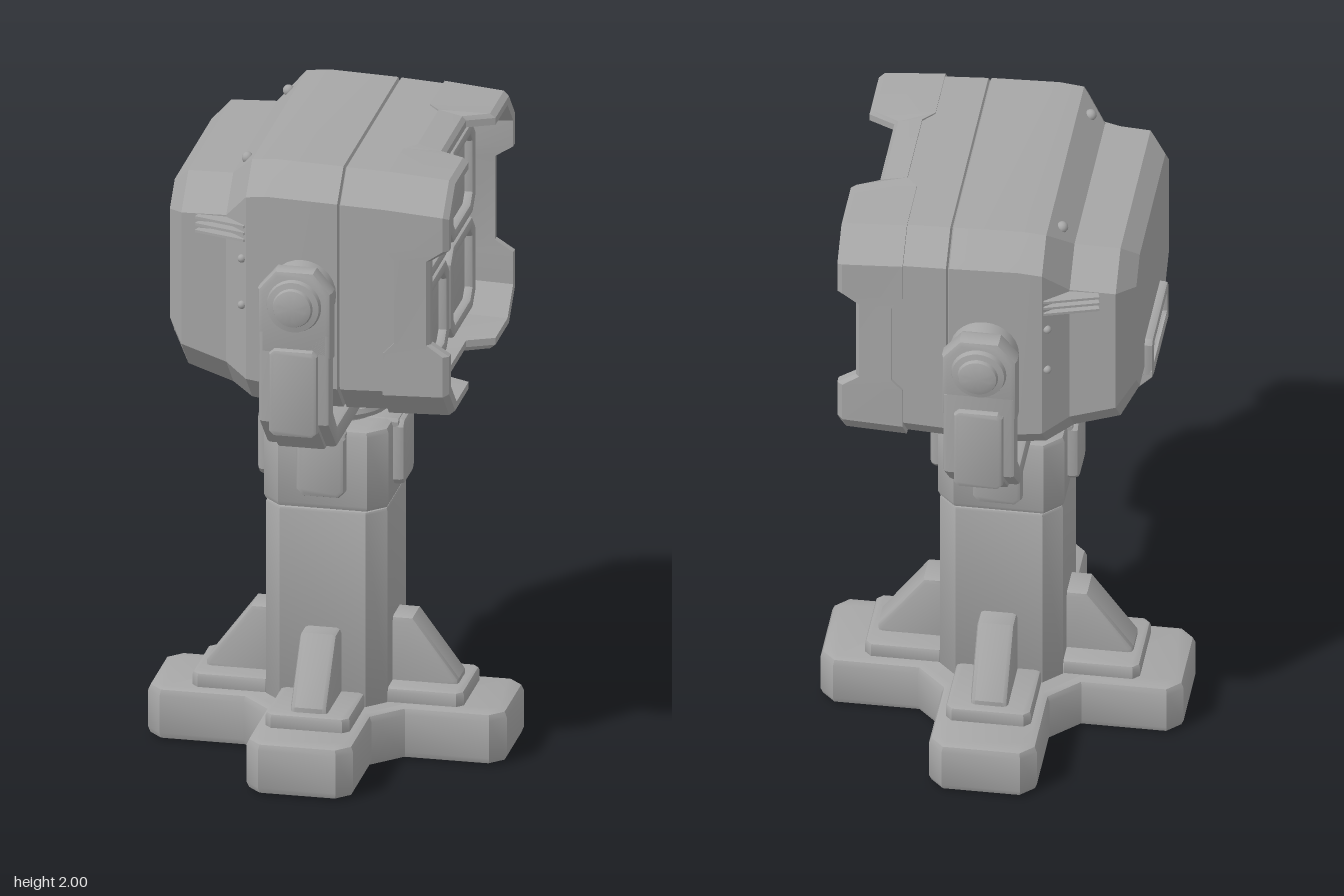
import * as THREE from 'three';
import { toCreasedNormals } from 'three/addons/utils/BufferGeometryUtils.js';

const grey = new THREE.MeshStandardMaterial({ color: 0xa6a6a6 });
grey.name = 'grey paint';

function add(parent, name, geometry, x = 0, y = 0, z = 0) {
  const mesh = new THREE.Mesh(geometry, grey);
  mesh.name = name;
  mesh.position.set(x, y, z);
  parent.add(mesh);
  return mesh;
}

// Counter-clockwise rectangle with cut corners, centred on (0, cy)
function cutRect(w, h, c, cy = 0) {
  return [[w - c, -h], [w, c - h], [w, h - c], [w - c, h], [c - w, h], [-w, h - c], [-w, c - h], [c - w, -h]]
    .map(([a, b]) => [a, b + cy]);
}
const toShape = (pts) => new THREE.Shape(pts.map((p) => new THREE.Vector2(...p)));

// Bevelled extrusion along z that keeps the drawn size, from 0 to depth
function slab(pts, depth, bevel = 0.015, holes = []) {
  const shape = toShape(pts);
  shape.holes = holes.map(toShape);
  const g = new THREE.ExtrudeGeometry(shape, {
    depth: depth - 2 * bevel, bevelThickness: bevel, bevelSize: bevel, bevelOffset: -bevel, bevelSegments: 2,
  });
  g.translate(0, 0, bevel);
  return toCreasedNormals(g, 0.6);
}
const upright = (g) => g.rotateX(-Math.PI / 2); // extrusion axis to +y
const forward = (g) => g.rotateY(Math.PI / 2); // extrusion axis to +x

// Skin over rings of [x, y, z] points, with optional end caps
function loft(rings, capped = true) {
  const pos = [];
  const n = rings[0].length;
  const tri = (a, b, c) => pos.push(...a, ...b, ...c);
  for (let i = 0; i < rings.length - 1; i++) {
    for (let j = 0; j < n; j++) {
      const k = (j + 1) % n, r = rings[i], s = rings[i + 1];
      tri(r[j], s[j], s[k]);
      tri(r[j], s[k], r[k]);
    }
  }
  if (capped) {
    const first = rings[0], last = rings[rings.length - 1];
    for (let j = 1; j < n - 1; j++) {
      tri(first[0], first[j], first[j + 1]);
      tri(last[0], last[j + 1], last[j]);
    }
  }
  const g = new THREE.BufferGeometry();
  g.setAttribute('position', new THREE.Float32BufferAttribute(pos, 3));
  g.computeVertexNormals();
  return toCreasedNormals(g, 0.35);
}
// Cut-corner section across the beam axis: half width, bottom, top, corner
const section = (x, w, lo, hi, c) => cutRect(w, (hi - lo) / 2, c, (hi + lo) / 2).map(([z, y]) => [x, y, z]);

function makeStand() {
  const stand = new THREE.Group();
  stand.name = 'stand';

  // Cross-shaped foot: one arm outline repeated four times
  const cross = [];
  for (let i = 0; i < 4; i++) {
    const c = Math.cos(i * Math.PI / 2), s = Math.sin(i * Math.PI / 2);
    for (const [a, b] of [[0.25, -0.165], [0.51, -0.165], [0.555, -0.12], [0.555, 0.12], [0.51, 0.165], [0.25, 0.165]]) {
      cross.push([a * c - b * s, a * s + b * c]);
    }
  }
  add(stand, 'crossFoot', upright(slab(cross, 0.17, 0.025)));

  // Column and its collar
  add(stand, 'column', upright(slab(cutRect(0.188, 0.188, 0.055), 0.65, 0.01)), 0, 0.15);
  add(stand, 'collar', upright(slab(cutRect(0.193, 0.193, 0.055), 0.265, 0.02)), 0, 0.797);

  for (let i = 0; i < 4; i++) {
    const side = new THREE.Group();
    side.name = 'columnSide';
    side.rotation.y = i * Math.PI / 2;
    stand.add(side);
    // Sloping brace on a foot plate
    const brace = slab([[0.17, 0.19], [0.39, 0.19], [0.39, 0.23], [0.25, 0.42], [0.17, 0.42]], 0.115);
    add(side, 'brace', brace, 0, 0, -0.0575);
    add(side, 'bracePlate', upright(slab(cutRect(0.125, 0.13, 0.02), 0.06, 0.012)), 0.295, 0.155);
    // Collar clip
    add(side, 'collarClip', forward(slab(cutRect(0.075, 0.105, 0.02, 0.955), 0.06, 0.015)), 0.168);
    add(side, 'clipTop', forward(slab(cutRect(0.075, 0.02, 0.01, 1.045), 0.1, 0.008)), 0.11);
  }

  // Stepped turntable
  const profile = [[0, 1.04], [0.13, 1.04], [0.13, 1.075], [0.165, 1.08], [0.17, 1.095], [0.165, 1.11],
    [0.12, 1.115], [0.12, 1.17], [0.16, 1.185], [0.16, 1.215], [0, 1.225]];
  const disc = new THREE.LatheGeometry(profile.map((p) => new THREE.Vector2(...p)), 32);
  add(stand, 'turntable', toCreasedNormals(disc, 0.5));
  return stand;
}

function makeYoke() {
  const yoke = new THREE.Group();
  yoke.name = 'yoke';
  // U-shaped fork with a wider outer flange
  const fork = (o, t, top) => [[-0.48 - o, 1.12 - o], [0.48 + o, 1.12 - o], [0.595 + o, 1.23 - o], [0.595 + o, top],
    [0.595 - t, top], [0.595 - t, 1.255], [0.47, 1.12 + t], [-0.47, 1.12 + t],
    [t - 0.595, 1.255], [t - 0.595, top], [-0.595 - o, top], [-0.595 - o, 1.23 - o]];
  add(yoke, 'fork', forward(slab(fork(0, 0.065, 1.52), 0.22, 0.012)), -0.11);
  add(yoke, 'forkRib', forward(slab(fork(0.008, 0.04, 1.46), 0.15, 0.008)), -0.075);

  for (const side of [0, 1]) {
    const arm = new THREE.Group();
    arm.name = 'yokeArm';
    arm.rotation.y = side * Math.PI;
    yoke.add(arm);
    const plate = [[-0.115, 1.44], [0.115, 1.44], [0.115, 1.655], [0.06, 1.72], [-0.06, 1.72], [-0.115, 1.655]];
    add(arm, 'armHead', slab(plate, 0.07, 0.018), 0, 0, 0.525);
    add(arm, 'armPad', slab(cutRect(0.075, 0.14, 0.015, 1.33), 0.05, 0.012), 0, 0, 0.565);
    // Stepped pivot cap and the shaft behind it
    const cap = [[0, 0.632], [0.04, 0.631], [0.058, 0.625], [0.062, 0.614], [0.08, 0.61], [0.086, 0.59],
      [0.105, 0.53], [0.105, 0.45]].reverse();
    const pivot = new THREE.LatheGeometry(cap.map((p) => new THREE.Vector2(...p)), 28).rotateX(Math.PI / 2);
    add(arm, 'pivot', toCreasedNormals(pivot, 0.6), 0, 1.61);
  }
  return yoke;
}

function makeHead() {
  const head = new THREE.Group();
  head.name = 'lampHead';

  // Housing: rear pack, flare, main body and a seam groove
  add(head, 'housing', loft([
    section(-0.442, 0.33, 1.37, 1.86, 0.07),
    section(-0.39, 0.405, 1.285, 1.91, 0.1),
    section(-0.25, 0.41, 1.24, 1.915, 0.1),
    section(-0.175, 0.475, 1.225, 1.993, 0.09),
    section(-0.1, 0.477, 1.215, 2.0, 0.09),
    section(0.108, 0.477, 1.215, 1.993, 0.09),
    section(0.113, 0.468, 1.224, 1.984, 0.09),
    section(0.118, 0.477, 1.215, 1.992, 0.09),
    section(0.29, 0.472, 1.22, 1.984, 0.09),
  ]));

  // Hollow shroud whose front edge is notched on all four sides
  const shroudRing = (w, lo, hi, c, kind) => {
    const pts = section(0, w, lo, hi, c);
    const ring = [];
    const edge = { rear: [0.25, 0.285], front: [0.435, 0.435], lip: [0.452, 0.452], inner: [0.27, 0.27] }[kind];
    for (let j = 0; j < 8; j++) {
      const [, y, z] = pts[j];
      ring.push([edge[0], y, z]);
      if (j % 2 === 1 === (j % 4 === 1) && j % 2 === 0) continue;
      const [, y2, z2] = pts[(j + 1) % 8];
      const upper = Math.abs(y2 - y) < 1e-6;
      if (!upper && Math.abs(z2 - z) > 1e-6) continue;
      const notch = upper ? 0.37 : 0.395;
      const dir = Math.sign(upper ? z2 - z : y2 - y);
      const cut = kind === 'front' ? notch - 0.012 : kind === 'lip' ? notch : edge[1];
      for (const [t, x] of [[-0.19, edge[0]], [-0.15, cut], [0.15, cut], [0.19, edge[0]]]) {
        ring.push(upper ? [x, y, t * dir] : [x, 1.605 + t * dir * 0.9, z]);
      }
    }
    return ring;
  };
  add(head, 'shroud', loft([
    shroudRing(0.47, 1.222, 1.978, 0.09, 'rear'),
    shroudRing(0.483, 1.21, 1.99, 0.09, 'rear'),
    shroudRing(0.478, 1.215, 1.975, 0.09, 'front'),
    shroudRing(0.465, 1.228, 1.962, 0.085, 'lip'),
    shroudRing(0.44, 1.25, 1.94, 0.08, 'lip'),
    shroudRing(0.425, 1.262, 1.928, 0.08, 'inner'),
  ], false));

  // Lamp panel with four framed windows
  add(head, 'lampPanel', forward(slab(cutRect(0.4, 0.325, 0.06, 1.595), 0.05, 0.012)), 0.27);
  for (const z of [-0.185, 0.185]) {
    for (const y of [1.44, 1.748]) {
      const frame = slab(cutRect(0.175, 0.148, 0.045), 0.045, 0.01, [cutRect(0.135, 0.112, 0.03)]);
      add(head, 'lampFrame', forward(frame), 0.31, y, z);
      add(head, 'lampLens', forward(slab(cutRect(0.14, 0.115, 0.03), 0.02, 0.004)), 0.308, y, z);
    }
  }

  // Open frame on the lower back slope
  const rearFrame = slab(cutRect(0.165, 0.07, 0.015), 0.04, 0.01, [cutRect(0.135, 0.04, 0.01)]);
  add(head, 'rearFrame', forward(rearFrame), -0.468, 1.395);
  add(head, 'rearFrameFoot', loft([
    section(-0.465, 0.165, 1.33, 1.36, 0.005),
    section(-0.38, 0.165, 1.245, 1.31, 0.005),
  ]));

  for (const s of [-1, 1]) {
    // Cooling fins on the flare
    for (let i = 0; i < 3; i++) {
      const fin = add(head, 'coolingFin', new THREE.BoxGeometry(0.17, 0.008, 0.05), -0.255, 1.762 + i * 0.022, s * 0.428);
      fin.rotation.y = -s * 0.3;
    }
    // Rivets
    for (const y of [1.55, 1.7]) add(head, 'sideRivet', new THREE.SphereGeometry(0.013, 12, 8), -0.19, y, s * 0.465);
    add(head, 'topRivet', new THREE.SphereGeometry(0.018, 12, 8), -0.21, 1.96, s * 0.29);
  }
  return head;
}

export function createModel() {
  const model = new THREE.Group();
  model.name = 'floodlight';
  model.add(makeStand(), makeYoke(), makeHead());
  model.rotation.y = 0.197;
  return model;
}
